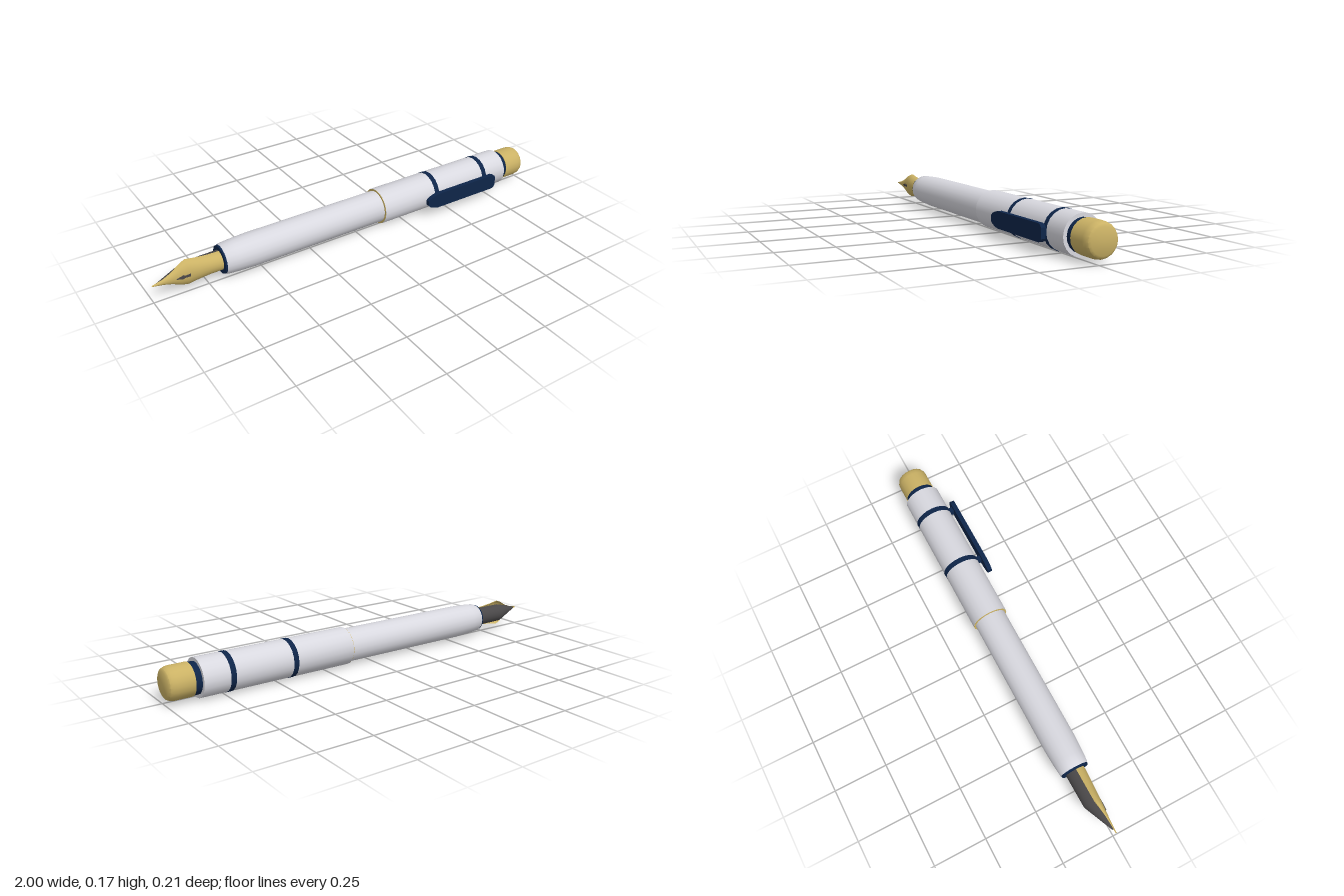
import * as THREE from 'three';
import { toCreasedNormals } from 'three/addons/utils/BufferGeometryUtils.js';

const AXIS_Y = 0.088, AXIS_Z = -0.02, SIDES = 20;

function material(name, color, side = THREE.FrontSide) {
  const m = new THREE.MeshStandardMaterial({ color, side });
  m.name = name;
  return m;
}

// Solid of revolution along x, profile given as [x, radius]
function turned(profile) {
  const pts = profile.map(([x, r]) => new THREE.Vector2(r, x));
  const g = new THREE.LatheGeometry(pts, SIDES);
  g.rotateZ(-Math.PI / 2);
  return toCreasedNormals(g, 0.6).translate(0, AXIS_Y, AXIS_Z);
}

// Half-elliptic shell lofted along x; stations are [x, halfWidth, edgeZ, crownZ]
function halfShell(stations, steps = 12) {
  const pos = [], idx = [];
  stations.forEach(([x, w, edge, crown], i) => {
    const dir = Math.sign(crown - edge);
    for (let j = 0; j <= steps; j++) {
      const t = (j / steps - 0.5) * Math.PI;
      pos.push(x, AXIS_Y + dir * w * Math.sin(t), edge + (crown - edge) * Math.cos(t));
      if (i < stations.length - 1 && j < steps) {
        const a = i * (steps + 1) + j, b = a + steps + 1;
        idx.push(a, b, a + 1, b, b + 1, a + 1);
      }
    }
  });
  const g = new THREE.BufferGeometry();
  g.setAttribute('position', new THREE.Float32BufferAttribute(pos, 3));
  g.setIndex(idx);
  g.computeVertexNormals();
  return g;
}

export function createModel() {
  const white = material('pearl white', 0xd8d8df);
  const gold = material('gold', 0xcbb265, THREE.DoubleSide);
  const navy = material('navy', 0x0e2549);
  const dark = material('dark grey', 0x4a4849, THREE.DoubleSide);

  const pen = new THREE.Group();
  pen.name = 'fountainPen';
  const add = (name, geometry, mat) => {
    const mesh = new THREE.Mesh(geometry, mat);
    mesh.name = name;
    pen.add(mesh);
    return mesh;
  };

  // Barrel and the wider cap section
  add('barrel', turned([[-0.677, 0], [-0.677, 0.065], [-0.67, 0.069], [-0.62, 0.073],
    [-0.54, 0.0765], [0.14, 0.0765]]), white);
  add('barrelCollar', turned([[-0.684, 0], [-0.684, 0.064], [-0.676, 0.066]]), navy);
  add('cap', turned([[0.13, 0.075], [0.13, 0.086], [0.86, 0.086], [0.86, 0.06]]), white);
  add('capLip', turned([[0.128, 0.076], [0.128, 0.085], [0.131, 0.085]]), gold);

  // Bands around the cap, each with a post that carries the clip
  for (const x of [0.43, 0.728]) {
    add('capBand', turned([[x - 0.012, 0.085], [x - 0.012, 0.087],
      [x + 0.012, 0.087], [x + 0.012, 0.085]]), navy);
    const post = add('clipPost', new THREE.BoxGeometry(0.025, 0.03, 0.03), navy);
    post.position.set(x, AXIS_Y, 0.072);
  }

  // Clip plate: tapered tip, chamfered tail
  const half = [[0.352, 0.012], [0.365, 0.023], [0.385, 0.031], [0.41, 0.037],
    [0.745, 0.037], [0.758, 0.032], [0.765, 0.022]];
  const outline = [...half, ...half.map(([x, y]) => [x, -y]).reverse()];
  const shape = new THREE.Shape(outline.map(([x, y]) => new THREE.Vector2(x, y)));
  add('clip', new THREE.ExtrudeGeometry(shape, { depth: 0.021, bevelEnabled: false }), navy)
    .position.set(0, AXIS_Y, 0.083);

  // End finial with its neck
  add('finialNeck', turned([[0.855, 0.07], [0.895, 0.07]]), navy);
  add('finial', turned([[0.888, 0.06], [0.888, 0.073], [0.965, 0.073], [0.982, 0.071],
    [0.994, 0.065], [1, 0.055], [1, 0]]), gold);

  // Nib over its feed
  add('nib', halfShell([[-1, 0.002, 0.003, 0.007], [-0.95, 0.013, 0, 0.009],
    [-0.91, 0.028, -0.006, 0.011], [-0.87, 0.051, -0.014, 0.014], [-0.84, 0.062, -0.02, 0.016],
    [-0.79, 0.053, -0.02, 0.019], [-0.74, 0.047, -0.02, 0.022], [-0.67, 0.045, -0.02, 0.025]]), gold);
  add('feed', halfShell([[-0.98, 0.004, 0.002, -0.004], [-0.92, 0.022, -0.004, -0.03],
    [-0.84, 0.043, -0.019, -0.064], [-0.67, 0.045, -0.02, -0.066]]), dark);

  // Breather hole: thin arrow-shaped inlay following the nib crown
  const hole = new THREE.Shape([[-0.895, 0], [-0.86, -0.01], [-0.862, -0.004], [-0.832, -0.007],
    [-0.832, 0.007], [-0.862, 0.004], [-0.86, 0.01]].map(([x, y]) => new THREE.Vector2(x, y)));
  add('breatherHole', new THREE.ExtrudeGeometry(hole, { depth: 0.005, bevelEnabled: false }), dark)
    .position.set(0, AXIS_Y, 0.012);

  return pen;
}
